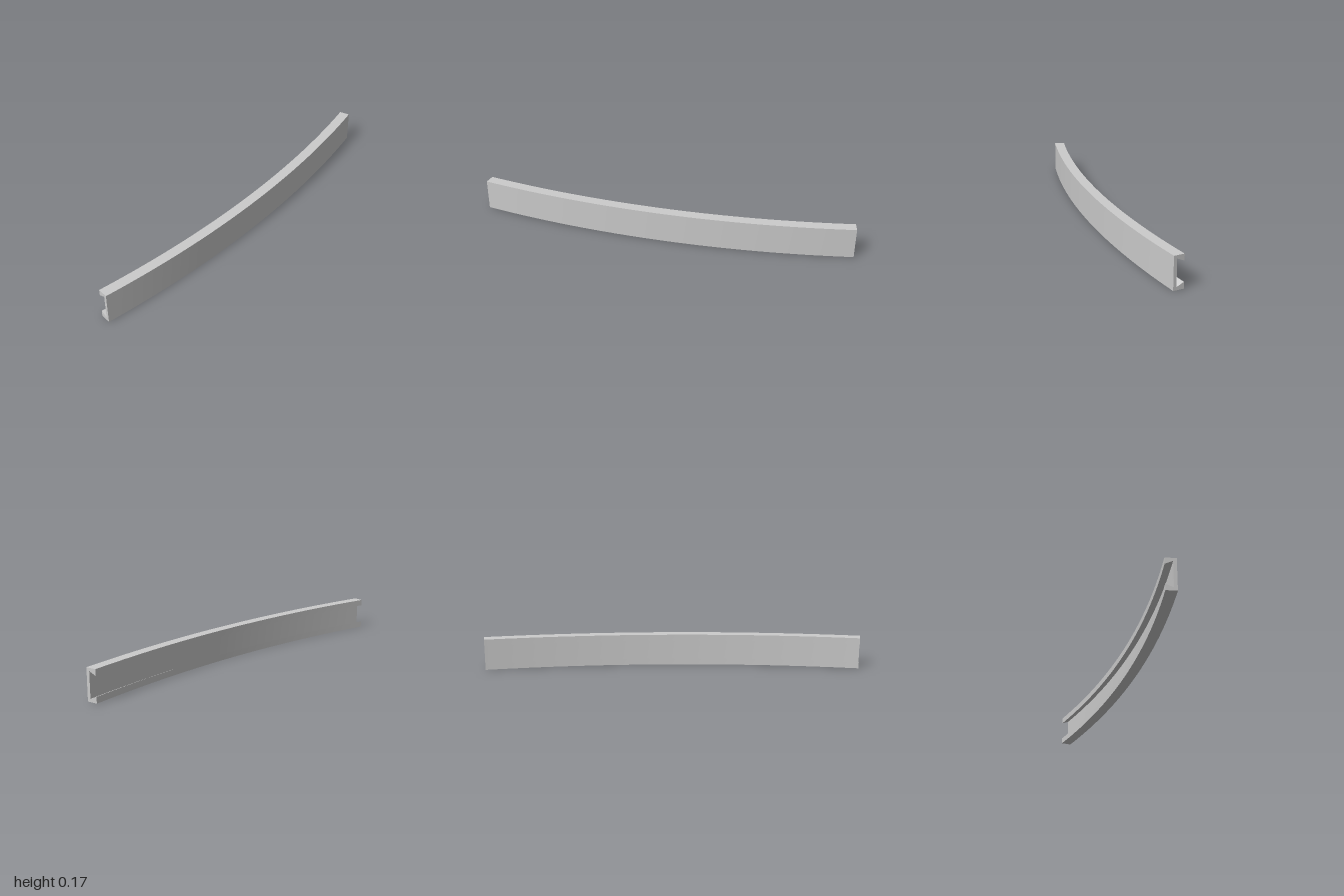
import * as THREE from 'three';
import { toCreasedNormals } from 'three/addons/utils/BufferGeometryUtils.js';

const RADIUS = 5.668;   // outer face of the rail
const SWEEP = 0.3606;   // arc angle in radians
const HEIGHT = 0.168;
const DEPTH = 0.056;    // radial thickness
const WEB = 0.017;      // back wall thickness
const CENTRE_X = 0.2085 - RADIUS;

// C-shaped section with undercut lips; x is the distance from the arc centre
function railSection() {
  const inner = RADIUS - DEPTH, web = RADIUS - WEB;
  const lower = [[web, 0.016], [inner, 0.033], [inner, 0], [RADIUS, 0]];
  const upper = lower.map(([x, y]) => [x, HEIGHT - y]).reverse();
  return new THREE.Shape([...lower, ...upper].map(([x, y]) => new THREE.Vector2(x, y)));
}

export function createModel() {
  const group = new THREE.Group();
  group.name = 'curvedChannelRail';

  // Straight extrusion, then bent around the arc centre
  const geometry = new THREE.ExtrudeGeometry(railSection(), { depth: 1, steps: 32, bevelEnabled: false });
  const pos = geometry.attributes.position;
  for (let i = 0; i < pos.count; i++) {
    const r = pos.getX(i);
    const angle = SWEEP * (1 - pos.getZ(i));
    pos.setX(i, CENTRE_X + r * Math.cos(angle));
    pos.setZ(i, 1 - r * Math.sin(angle));
  }

  const rail = new THREE.Mesh(
    toCreasedNormals(geometry, 0.3),
    new THREE.MeshStandardMaterial({ color: 0xcccccc })
  );
  rail.name = 'rail';
  group.add(rail);
  return group;
}
